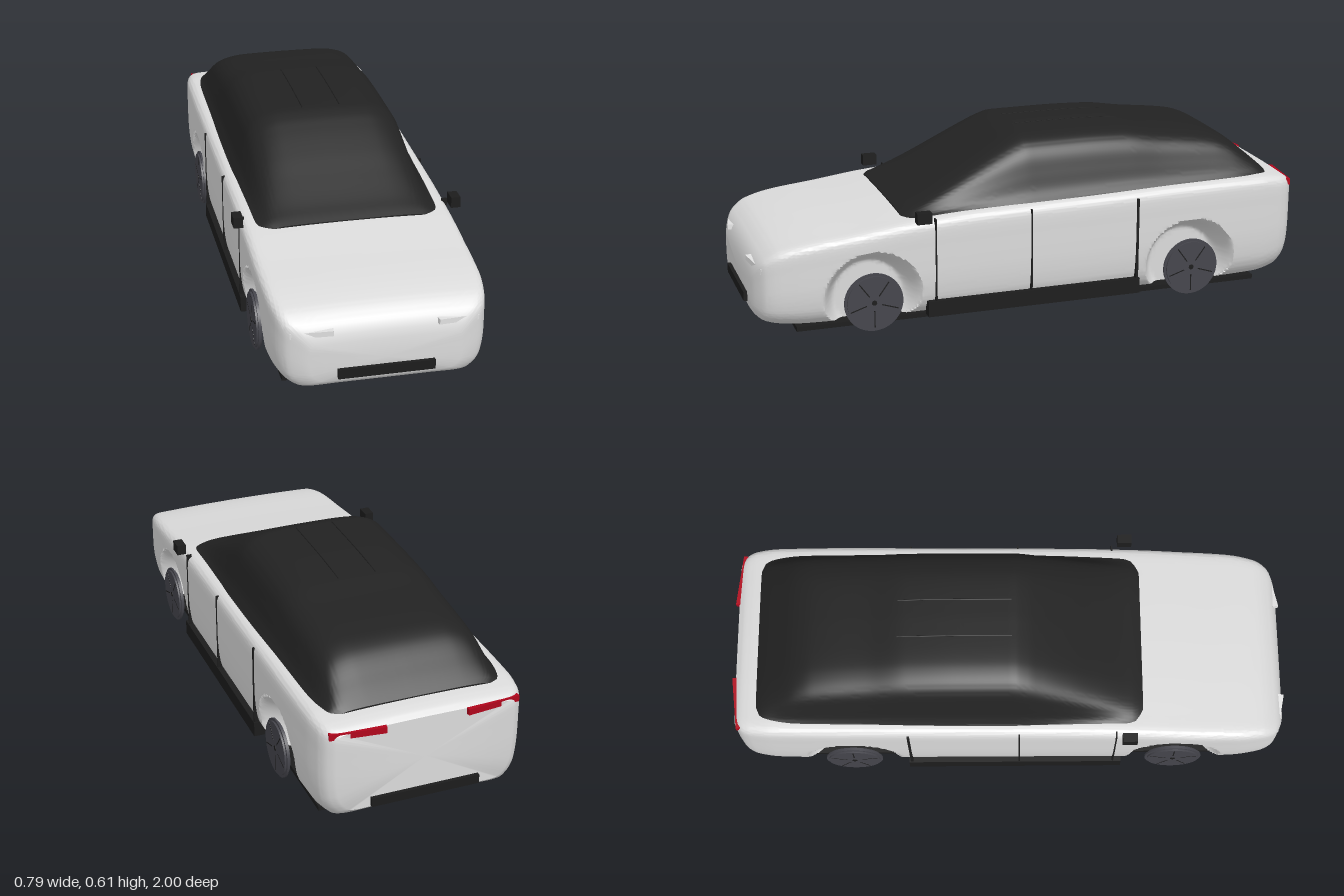
import * as THREE from 'three';
import { toCreasedNormals } from 'three/addons/utils/BufferGeometryUtils.js';

const mat = (name, color) => {
  const m = new THREE.MeshStandardMaterial({ color });
  m.name = name;
  return m;
};

// Smooth interpolation through rows [z, a, b, ...] without overshoot
function interpolate(rows, z) {
  const last = rows.length - 1;
  let i = 0;
  while (i < last - 1 && z < rows[i + 1][0]) i++;
  const dz = rows[i + 1][0] - rows[i][0];
  const t = (z - rows[i][0]) / dz;
  return rows[i].slice(1).map((_, n) => {
    const k = n + 1;
    const secant = (j) => (rows[j + 1][k] - rows[j][k]) / (rows[j + 1][0] - rows[j][0]);
    const slope = (j) => {
      if (j === 0) return secant(0);
      if (j === last) return secant(last - 1);
      const s = secant(j - 1), e = secant(j);
      return s * e <= 0 ? 0 : (2 * s * e) / (s + e);
    };
    const p = rows[i][k], q = rows[i + 1][k], d = q - p;
    const m0 = slope(i) * dz, m1 = slope(i + 1) * dz;
    return p + m0 * t + (3 * d - 2 * m0 - m1) * t * t + (m0 + m1 - 2 * d) * t * t * t;
  });
}

// Loft a normalised half profile along z; rows are [z, half width, bottom, top]
function loft(rows, profile, steps, perSegment, adjust = () => {}) {
  const curve = new THREE.SplineCurve(profile.map(([u, v]) => new THREE.Vector2(u, v)));
  const half = curve.getPoints((profile.length - 1) * perSegment);
  const ring = [...half, ...half.slice(1, -1).reverse().map((p) => new THREE.Vector2(-p.x, p.y))];
  const n = ring.length, pos = [], index = [];
  const z0 = rows[0][0], z1 = rows[rows.length - 1][0];
  const p = new THREE.Vector3();
  for (let i = 0; i <= steps; i++) {
    const z = z0 + ((z1 - z0) * i) / steps;
    const [w, bottom, top] = interpolate(rows, z);
    ring.forEach((r, j) => {
      p.set(r.x * w, bottom + r.y * (top - bottom), z);
      adjust(p);
      pos.push(p.x, p.y, p.z);
      if (i === steps) return;
      const a = i * n + j, b = i * n + ((j + 1) % n);
      index.push(a, a + n, b, b, a + n, b + n);
    });
  }
  // End caps
  [rows[0], rows[rows.length - 1]].forEach(([z, , bottom, top], end) => {
    const c = pos.length / 3, base = end * steps * n;
    pos.push(0, (bottom + top) / 2, z);
    for (let j = 0; j < n; j++) {
      const a = base + j, b = base + ((j + 1) % n);
      index.push(c, end ? b : a, end ? a : b);
    }
  });
  const g = new THREE.BufferGeometry();
  g.setAttribute('position', new THREE.Float32BufferAttribute(pos, 3));
  g.setIndex(index);
  return toCreasedNormals(g, 0.65);
}

export function createModel() {
  const car = new THREE.Group();
  car.name = 'car';
  const paint = mat('body paint', 0xdadada);
  const glass = mat('black glass', 0x222222);
  const trim = mat('black trim', 0x1c1c1c);
  const alloy = mat('wheel grey', 0x45454c);
  const lamp = mat('headlight white', 0xe0e0e0);
  const red = mat('tail light red', 0xb0061c);

  const add = (name, geo, material, x = 0, y = 0, z = 0, parent = car) => {
    const m = new THREE.Mesh(geo, material);
    m.name = name;
    m.position.set(x, y, z);
    parent.add(m);
    return m;
  };
  const box = (name, material, size, at, parent) =>
    add(name, new THREE.BoxGeometry(...size), material, ...at, parent);

  // Body shell, with a bowl pressed in around each wheel
  const axles = [0.59, -0.58];
  const bodyRows = [
    [0.987, 0.25, 0.075, 0.21], [0.975, 0.285, 0.06, 0.25], [0.95, 0.325, 0.047, 0.283],
    [0.9, 0.347, 0.038, 0.314], [0.8, 0.361, 0.032, 0.336], [0.65, 0.365, 0.03, 0.353],
    [0.45, 0.366, 0.03, 0.378], [0.2, 0.366, 0.03, 0.395], [-0.2, 0.366, 0.03, 0.405],
    [-0.6, 0.366, 0.03, 0.415], [-0.85, 0.362, 0.035, 0.418], [-0.93, 0.353, 0.05, 0.411],
    [-0.965, 0.338, 0.07, 0.402], [-0.987, 0.31, 0.09, 0.387],
  ];
  const bodyProfile = [
    [0, 0], [0.5, 0], [0.8, 0], [0.9, 0.06], [0.96, 0.16], [0.985, 0.28], [0.997, 0.42], [1, 0.56],
    [1, 0.7], [1, 0.83], [0.992, 0.91], [0.965, 0.955], [0.91, 0.977], [0.75, 0.985], [0.4, 0.996], [0, 1],
  ];
  const pressArches = (p) => {
    for (const z of axles) {
      const inside = 0.176 - Math.hypot(p.z - z, p.y - 0.105);
      if (inside <= 0) continue;
      const limit = 0.366 - 0.1 * THREE.MathUtils.smoothstep(inside, -0.01, 0.06);
      p.x = Math.sign(p.x) * Math.min(Math.abs(p.x), limit);
    }
  };
  add('body', loft(bodyRows, bodyProfile, 260, 6, pressArches), paint);

  // Glazed cabin
  const cabinRows = [
    [0.467, 0.3, 0.365, 0.38], [0.44, 0.328, 0.368, 0.394], [0.4, 0.333, 0.37, 0.413],
    [0.3, 0.334, 0.372, 0.466], [0.2, 0.334, 0.374, 0.521], [0.1, 0.334, 0.376, 0.573],
    [0.05, 0.334, 0.378, 0.596], [0, 0.334, 0.38, 0.61], [-0.2, 0.334, 0.385, 0.611],
    [-0.37, 0.334, 0.388, 0.606], [-0.5, 0.334, 0.39, 0.587], [-0.7, 0.334, 0.393, 0.56],
    [-0.76, 0.334, 0.394, 0.54], [-0.85, 0.333, 0.396, 0.472], [-0.89, 0.328, 0.397, 0.436],
    [-0.908, 0.305, 0.397, 0.418],
  ];
  const cabinProfile = [
    [0, 0], [0.6, 0], [0.99, 0], [0.975, 0.07], [0.92, 0.22], [0.87, 0.45], [0.81, 0.7],
    [0.72, 0.86], [0.58, 0.955], [0.4, 0.99], [0, 1],
  ];
  add('cabin', loft(cabinRows, cabinProfile, 100, 5), glass);

  // Floor and bumper strips
  box('underbodyPlate', trim, [0.63, 0.016, 1.7], [0, 0.02, 0]);
  box('frontBumperStrip', trim, [0.32, 0.033, 0.02], [0, 0.102, 0.99]);
  box('rearBumperStrip', trim, [0.38, 0.032, 0.02], [0, 0.11, -0.99]);

  for (const s of [1, -1]) {
    const side = s > 0 ? 'left' : 'right';

    // Lights
    const head = box(side + 'Headlight', lamp, [0.14, 0.018, 0.02], [s * 0.24, 0.243, 0.967]);
    head.rotation.set(0, s * 0.19, -s * 0.08);
    const tail = box(side + 'TailLight', red, [0.19, 0.022, 0.022], [s * 0.235, 0.376, -0.979]);
    tail.rotation.y = -s * 0.11;

    // Mirror, sill and door gaps
    box(side + 'Mirror', trim, [0.033, 0.038, 0.052], [s * 0.38, 0.394, 0.416]);
    box(side + 'Sill', trim, [0.04, 0.055, 0.78], [s * 0.351, 0.058, 0.01]);
    [[0.37, 0.005], [0.025, 0.005], [-0.37, 0.009]].forEach(([z, w]) =>
      box(side + 'DoorGap', trim, [0.02, 0.3, w], [s * 0.3585, 0.23, z]));

    // Roof rail following the roof line
    const pts = [0, -0.1, -0.2, -0.3, -0.4].map((z) =>
      new THREE.Vector3(s * 0.068, interpolate(cabinRows, z)[2] - 0.0005, z));
    add(side + 'RoofRail', new THREE.TubeGeometry(new THREE.CatmullRomCurve3(pts), 20, 0.002, 6), trim);

    // Wheels: thin tyre disc, thicker face and five slots
    axles.forEach((z, i) => {
      const wheel = new THREE.Group();
      wheel.name = side + (i ? 'Rear' : 'Front') + 'Wheel';
      wheel.position.set(s * 0.357, 0.104, z);
      wheel.rotation.z = -s * Math.PI / 2;
      car.add(wheel);
      add('tyre', new THREE.CylinderGeometry(0.103, 0.103, 0.007, 48), alloy, 0, 0, 0, wheel);
      add('rim', new THREE.CylinderGeometry(0.094, 0.094, 0.02, 48), alloy, 0, 0, 0, wheel);
      add('hubCap', new THREE.CylinderGeometry(0.009, 0.009, 0.023, 16), trim, 0, 0, 0, wheel);
      for (let k = 0; k < 5; k++) {
        const a = (k * Math.PI * 2) / 5;
        const slot = box('slot', trim, [0.06, 0.021, 0.004],
          [Math.cos(a) * 0.058, 0, Math.sin(a) * 0.058], wheel);
        slot.rotation.y = -a;
      }
    });
  }
  return car;
}
